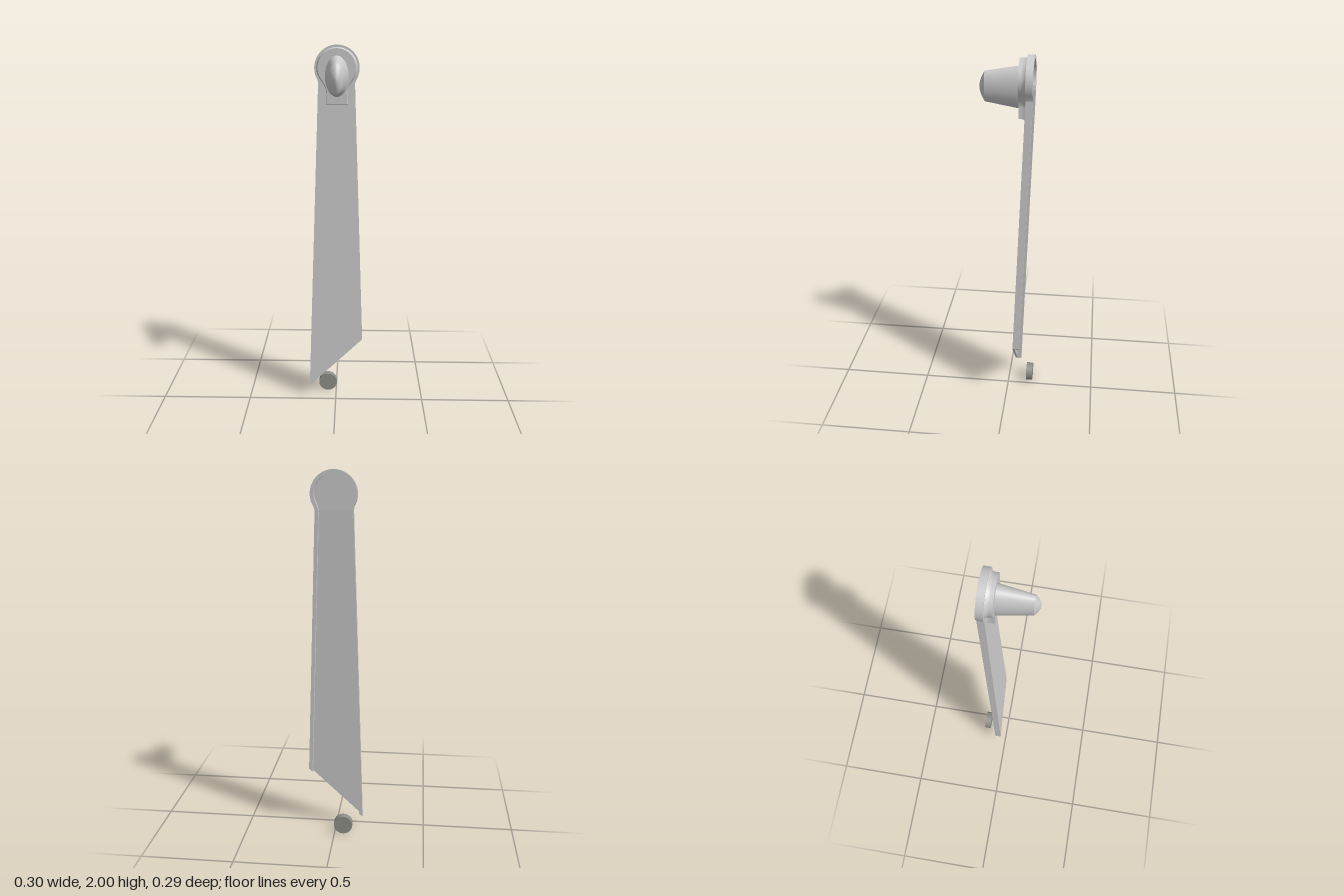
import * as THREE from 'three';

const grey = new THREE.MeshStandardMaterial({ color: 0xcccccc, side: THREE.DoubleSide });
const dark = new THREE.MeshStandardMaterial({ color: 0x909089, side: THREE.DoubleSide });

const CX = 0.004, CY = 1.88;    // centre of the round head
const BEND = 1.8;               // the blade leans forward below this height
const HEAD_Z = -0.095;          // front face of the head
const SKIN = 0.011, DEPTH = 0.036, RIM = 0.019;

const part = (name, geometry, material = grey) => {
  const mesh = new THREE.Mesh(geometry, material);
  mesh.name = name;
  return mesh;
};

// Flat slab from a shape between two z values
const slab = (shape, zBack, zFront, steps = 1) => {
  const g = new THREE.ExtrudeGeometry(shape, { depth: zFront - zBack, bevelEnabled: false, curveSegments: 40, steps });
  return g.translate(0, 0, zBack);
};

// Move vertices by a rule
const warp = (g, rule) => {
  const p = g.attributes.position, v = new THREE.Vector3();
  for (let i = 0; i < p.count; i++) {
    rule(v.fromBufferAttribute(p, i));
    p.setXYZ(i, v.x, v.y, v.z);
  }
  g.computeVertexNormals();
  return g;
};

const lean = g => warp(g, v => { v.z += HEAD_Z + 0.0376 * (BEND - v.y); });
const polygon = pts => new THREE.Shape(pts.map(p => new THREE.Vector2(...p)));

// Round head outline, inset for the rim, open along the bend
const headPoints = inset => {
  const pts = [[CX + 0.096 - inset, BEND]];
  for (let i = 0; i <= 40; i++) {
    const a = THREE.MathUtils.degToRad(-32 + 244 * i / 40);
    pts.push([CX + (0.12 - inset) * Math.cos(a), CY + (0.12 - inset) * Math.sin(a)]);
  }
  pts.push([CX - 0.1 + inset, BEND]);
  return pts;
};

// Keyhole outline of the raised boss
const bossShape = () => {
  const s = new THREE.Shape();
  s.moveTo(CX - 0.055, 1.695);
  s.lineTo(CX + 0.055, 1.695);
  s.lineTo(CX + 0.052, 1.76);
  s.quadraticCurveTo(CX + 0.056, 1.79, CX + 0.08, 1.823);
  s.absarc(CX, 1.883, 0.1, -0.64, Math.PI + 0.64, false);
  s.quadraticCurveTo(CX - 0.056, 1.79, CX - 0.052, 1.76);
  s.closePath();
  return s;
};

// Oval lathe part along z; each profile point is [t, z], squashed in x by a rule
const ovalLathe = (profile, squash) => {
  const g = new THREE.LatheGeometry(profile.map(p => new THREE.Vector2(...p)), 48);
  g.rotateX(Math.PI / 2);
  return warp(g, v => { v.x = v.x * squash(v.z) + CX; v.y += 1.84; });
};

export function createModel() {
  const model = new THREE.Group();

  // Leaning blade: thin front skin with a deeper rim on both long sides
  const TL = [CX - 0.1, BEND], TR = [CX + 0.096, BEND], BL = [-0.152, 0.068], BR = [0.151, 0.358];
  const slope = (BR[1] - BL[1]) / (BR[0] - BL[0]);
  model.add(part('bladeSkin', lean(slab(polygon([BL, BR, TR, TL]), -SKIN, 0))));
  for (const [name, top, low, d] of [['bladeRimRight', TL, BL, RIM], ['bladeRimLeft', TR, BR, -RIM]]) {
    const rim = polygon([low, [low[0] + d, low[1] + d * slope], [top[0] + d, BEND], top]);
    model.add(part(name, lean(slab(rim, -DEPTH, -SKIN))));
  }

  // Upright head: skin and horseshoe rim
  const outer = headPoints(0);
  model.add(part('headSkin', slab(polygon(outer), HEAD_Z - SKIN, HEAD_Z)));
  const horseshoe = polygon([...outer, ...headPoints(RIM).reverse()]);
  model.add(part('headRim', slab(horseshoe, HEAD_Z - DEPTH, HEAD_Z - SKIN)));

  // Raised boss, flaring into the head
  const boss = slab(bossShape(), HEAD_Z - 0.001, -0.057, 8);
  model.add(part('boss', warp(boss, v => {
    const t = Math.max(0, (-0.072 - v.z) / 0.024);
    const k = 1 + 0.1 * t * t;
    v.x = CX + (v.x - CX) * k;
    v.y = 1.883 + (v.y - 1.883) * (1 + 0.06 * t * t);
  })));

  // Tapered oval peg with a domed tip
  const squash = z => THREE.MathUtils.mapLinear(z, -0.06, 0.116, 0.585, 0.48);
  model.add(part('peg', ovalLathe([[0.107, -0.06], [0.077, 0.116]], squash)));
  const dome = [];
  for (let i = 0; i <= 8; i++) {
    const t = i / 8;
    dome.push([0.077 * (1 - t), 0.116 + 0.028 * (1 - Math.pow(1 - t, 1.7))]);
  }
  model.add(part('pegTip', ovalLathe(dome, () => 0.48)));

  // Small loose disc near the foot
  const disc = new THREE.CylinderGeometry(0.052, 0.052, 0.036, 40);
  disc.rotateX(Math.PI / 2).translate(-0.048, 0.052, -0.126);
  model.add(part('disc', disc, dark));

  return model;
}
